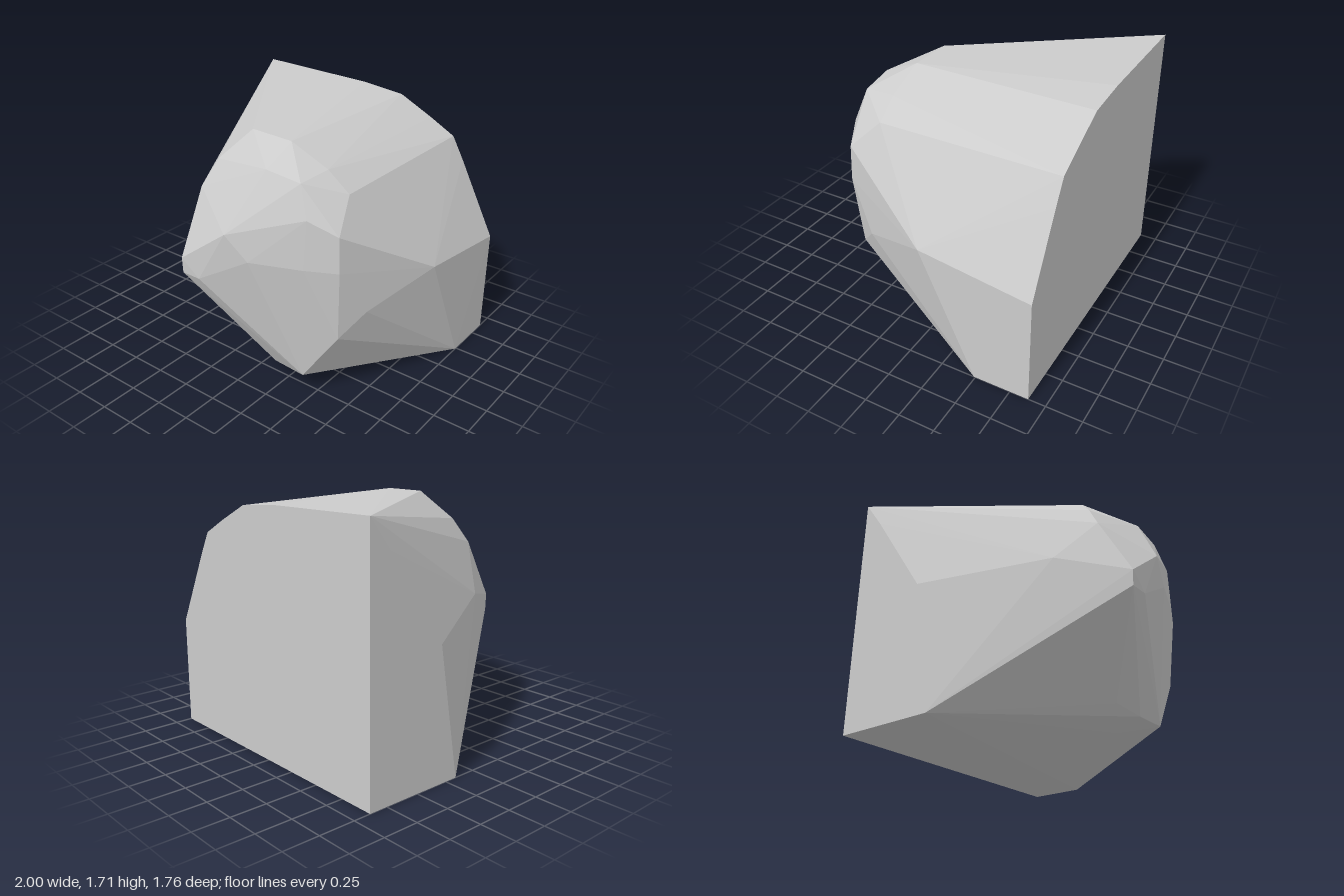
import * as THREE from 'three';
import { ConvexGeometry } from 'three/addons/geometries/ConvexGeometry.js';

const v = (x, y, z) => new THREE.Vector3(x, y, z);

export function createModel() {
  const group = new THREE.Group();
  group.name = 'rockCorner';

  // flat back face, cut straight like a wall
  const back = [[-1, 0], [1, 0], [1, 0.76], [0.73, 1.28], [0.64, 1.44], [0.45, 1.54],
    [0.2, 1.66], [-0.12, 1.69], [-1, 1.71]].map(([x, y]) => v(x, y, -0.88));

  // flat side face and the two front corners of the base
  const side = [v(-1, 1.51, -0.73), v(-1, 0.9, -0.31), v(-1, 0, -0.16), v(1, 0, -0.49), v(0.99, 0.86, -0.09)];

  // front end of the rounded top
  const top = [v(-0.12, 1.69, 0.38), v(0.2, 1.685, 0.39), v(0.48, 1.57, 0.39), v(0.64, 1.45, 0.39),
    v(-0.28, 1.5, 0.54), v(0.2, 1.58, 0.635), v(0.45, 1.55, 0.62), v(0.53, 1.35, 0.67)];

  // bulging front
  const front = [v(-0.32, 0.8, 0.88), v(-0.32, 0.91, 0.885), v(-0.18, 0.8, 0.88), v(0.04, 1.18, 0.86),
    v(-0.34, 1.33, 0.645), v(-0.58, 1.02, 0.46), v(0.19, 1.02, 0.82), v(0.52, 1.02, 0.69),
    v(0.71, 1.26, 0.585), v(0.72, 1.02, 0.59), v(0.69, 0.52, 0.55), v(0.8, 0.69, 0.4)];

  // undercut below the bulge
  const under = [v(0.44, 0.15, 0.59), v(0.2, 0.155, 0.58), v(0, 0.2, 0.53), v(0.2, 0.08, 0.39)];

  const rock = new THREE.Mesh(
    new ConvexGeometry([...back, ...side, ...top, ...front, ...under]),
    new THREE.MeshStandardMaterial({ color: 0xcccccc, flatShading: true })
  );
  rock.name = 'rock';
  group.add(rock);
  return group;
}
